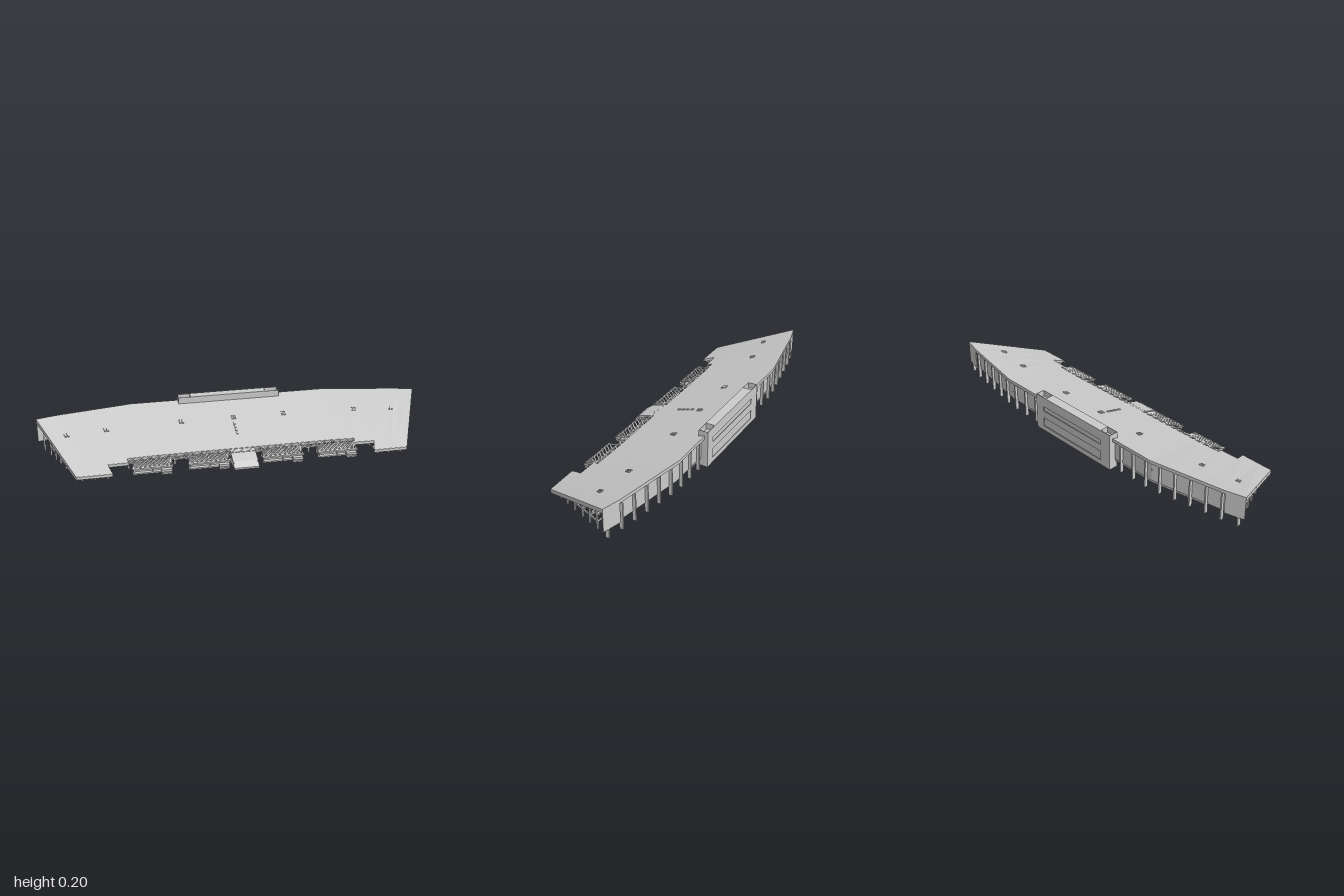
import * as THREE from 'three';

const grey = new THREE.MeshStandardMaterial({ color: 0xcccccc, flatShading: true, side: THREE.DoubleSide });
const V = (x, y, z) => new THREE.Vector3(x, y, z);
const UP = V(0, 1, 0);

// Back edge line of the faceted plan, s runs -1..1 along the building
function backZ(s) {
  const u = Math.abs(s);
  if (u <= 0.5126) return -0.26;
  if (u <= 0.9045) return -0.26 + (u - 0.5126) / 0.3919 * 0.073;
  return -0.187 + (u - 0.9045) / 0.0955 * 0.027;
}
// Point on the roof surface: t = 0 at the back eave, 1 at the front eave
function roofPoint(s, t, drop = 0) {
  const zb = backZ(s);
  return V(s * (1 - 0.17 * t), 0.175 - 0.14 * t - drop, zb + (0.245 - zb) * t);
}
const at = (s, t, y) => roofPoint(s, t).setY(y);

export function createModel() {
  const model = new THREE.Group();
  model.name = 'grandstandBuilding';
  const building = new THREE.Group();
  building.name = 'building';
  building.rotation.y = -0.06;
  building.position.x = -0.009;
  model.add(building);

  function add(name, geometry, parent = building) {
    const m = new THREE.Mesh(geometry, grey);
    m.name = name;
    parent.add(m);
    return m;
  }
  function group(name) {
    const g = new THREE.Group();
    g.name = name;
    building.add(g);
    return g;
  }
  function box(name, x0, x1, y0, y1, z0, z1, parent) {
    const m = add(name, new THREE.BoxGeometry(x1 - x0, y1 - y0, z1 - z0), parent);
    m.position.set((x0 + x1) / 2, (y0 + y1) / 2, (z0 + z1) / 2);
    return m;
  }
  // Straight bar from a to b with width w and height h
  function bar(name, a, b, w, h, parent) {
    const m = add(name, new THREE.BoxGeometry(w, h, a.distanceTo(b)), parent);
    m.position.copy(a).add(b).multiplyScalar(0.5);
    m.quaternion.setFromRotationMatrix(new THREE.Matrix4().lookAt(b, a, UP));
    return m;
  }
  // Slab under four top corners: back left, front left, front right, back right
  function slab(name, corners, thick, parent) {
    const low = corners.map(p => V(p.x, p.y - thick, p.z));
    const pts = [...corners, ...low];
    const quads = [[0, 1, 2, 3], [7, 6, 5, 4], [0, 4, 5, 1], [1, 5, 6, 2], [2, 6, 7, 3], [3, 7, 4, 0]];
    const tris = quads.flatMap(([a, b, c, d]) => [a, b, c, a, c, d]);
    const g = new THREE.BufferGeometry().setFromPoints(tris.map(i => pts[i]));
    g.computeVertexNormals();
    return add(name, g, parent);
  }

  // Thin roof sheets, set back in the middle and stepping out to the ends
  const roof = group('roof');
  const cuts = [-1, -0.9045, -0.79, -0.67, -0.5126, 0, 0.5126, 0.67, 0.79, 0.9045, 1];
  const reach = s => (Math.abs(s) > 0.79 ? 1 : Math.abs(s) > 0.67 ? 0.86 : 0.8);
  for (let i = 0; i < cuts.length - 1; i++) {
    const [p, q] = [cuts[i], cuts[i + 1]];
    const t = reach((p + q) / 2);
    slab('roofPanel', [roofPoint(p, 0), roofPoint(p, t), roofPoint(q, t), roofPoint(q, 0)], 0.002, roof);
    bar('frontFascia', roofPoint(p, t, 0.008), roofPoint(q, t, 0.008), 0.004, 0.014, roof);
  }
  for (const s of [-1, 1]) {
    const c = [roofPoint(s * 0.997, 0), roofPoint(s * 0.997, 1), roofPoint(s, 1), roofPoint(s, 0)];
    slab('sideFascia', s > 0 ? c : c.reverse(), 0.022, roof);
  }

  // Rafters and purlins directly below the sheets
  const framing = group('roofFraming');
  for (let i = -12; i <= 12; i++) {
    const s = i * 0.08;
    bar('rafter', roofPoint(s, 0.02, 0.009), roofPoint(s, reach(s) - 0.01, 0.009), 0.008, 0.012, framing);
  }
  for (const t of [0.2, 0.4, 0.6, 0.78]) {
    for (let i = 0; i < cuts.length - 1; i++) {
      bar('purlin', roofPoint(cuts[i], t, 0.008), roofPoint(cuts[i + 1], t, 0.008), 0.006, 0.009, framing);
    }
  }

  // Small roof hatches and the central run of rooflights
  for (const s of [-0.91, -0.7, -0.29, 0, 0.28, 0.68, 0.89]) {
    for (const d of [-0.007, 0.007]) {
      bar('roofHatch', roofPoint(s + d, 0.32), roofPoint(s + d, 0.37), 0.008, 0.01);
    }
  }
  for (let i = 0; i < 4; i++) {
    bar('rooflight', roofPoint(-0.005, 0.42 + i * 0.05), roofPoint(-0.005, 0.45 + i * 0.05), 0.01, 0.008);
  }

  // Back eave, recessed wall and upright fins
  const back = group('backWall');
  const backCuts = [-1, -0.9045, -0.5126, -0.27, 0.27, 0.5126, 0.9045, 1];
  for (let i = 0; i < backCuts.length - 1; i++) {
    const [p, q] = [backCuts[i], backCuts[i + 1]];
    bar('eaveBand', at(p, 0.006, 0.165), at(q, 0.006, 0.165), 0.005, 0.016, back);
    const end = Math.abs(p + q) > 1.8;
    const t = end ? 0.008 : 0.04;
    bar(end ? 'endPanel' : 'recessedWall', at(p, t, 0.11), at(q, t, 0.11), 0.005, 0.116, back);
  }
  for (const side of [-1, 1]) {
    for (let i = 0; i < 9; i++) {
      const s = side * (0.315 + i * 0.082);
      bar('backFin', at(s, 0.025, 0.003), at(s, 0.025, 0.166), 0.008, 0.018, back);
    }
  }

  // Rear service block: facade with two long slots, end walls and a cap
  const block = group('rearBlock');
  const rect = (x0, x1, y0, y1) => [[x0, y0], [x1, y0], [x1, y1], [x0, y1]].map(p => new THREE.Vector2(...p));
  const face = new THREE.Shape(rect(-0.265, 0.272, 0.003, 0.2));
  face.holes.push(new THREE.Path(rect(-0.2, 0.22, 0.03, 0.08)), new THREE.Path(rect(-0.2, 0.22, 0.12, 0.146)));
  add('facade', new THREE.ExtrudeGeometry(face, { depth: 0.004, bevelEnabled: false }), block).position.z = -0.278;
  box('slotBacking', -0.262, 0.27, 0.003, 0.17, -0.258, -0.256, block);
  box('cap', -0.2, 0.2, 0.165, 0.2, -0.277, -0.228, block);
  box('parapet', -0.265, 0.272, 0.165, 0.2, -0.23, -0.228, block);
  for (const x of [-0.264, 0.271]) box('endWall', x - 0.001, x + 0.001, 0.003, 0.2, -0.278, -0.228, block);

  // Raised floor on a line of short posts
  const floor = group('raisedFloor');
  for (const [p, q] of [[-0.8, -0.5126], [-0.5126, 0.4]]) {
    slab('floorSlab', [at(p, 0.04, 0.044), at(p, 0.8, 0.044), at(q, 0.8, 0.044), at(q, 0.04, 0.044)], 0.006, floor);
  }
  for (let i = 0; i < 13; i++) {
    const s = -0.72 + i * 0.09;
    bar('floorPost', at(s, 0.45, 0.003), at(s, 0.45, 0.04), 0.007, 0.007, floor);
  }
  bar('floorBeam', at(-0.5126, 0.45, 0.036), at(0.4, 0.45, 0.036), 0.005, 0.006, floor);

  // Open end frames: posts, floor beams and side rails
  const frames = group('endFrames');
  const rows = [0.2, 0.33, 0.46, 0.6, 0.74, 0.87];
  for (const s of [-0.97, -0.87, 0.45, 0.56, 0.67, 0.77, 0.87, 0.97]) {
    for (const t of rows) {
      if (t < reach(s)) bar('framePost', at(s, t, 0.003), roofPoint(s, t, 0.012), 0.008, 0.008, frames);
    }
    bar('frameBeam', at(s, 0.2, 0.045), at(s, 0.8, 0.045), 0.006, 0.009, frames);
    if (Math.abs(s) > 0.8) bar('sideRail', at(s, 0.2, 0.1), at(s, 0.46, 0.1), 0.006, 0.009, frames);
  }
  for (const [p, q] of [[-0.97, -0.9045], [-0.9045, -0.8], [0.4, 0.5126], [0.5126, 0.9045], [0.9045, 0.97]]) {
    for (const t of rows.slice(0, 5)) bar('crossBeam', at(p, t, 0.045), at(q, t, 0.045), 0.006, 0.008, frames);
  }
  // Small enclosed rooms and landings within the frames
  for (const [x, z, top] of [[0.82, -0.07, 0.1], [0.56, -0.09, 0.1], [-0.8, 0.03, 0.076]]) {
    box('room', x - 0.035, x + 0.035, 0.03, top, z - 0.03, z + 0.03, frames);
    box('landing', x - 0.055, x + 0.055, 0.022, 0.028, z + 0.02, z + 0.06, frames);
  }

  // Front terraces with slatted canopies, steps and posts
  const slope = (x, z, drop = 0) => V(x, 0.175 - 0.277 * (z + 0.26) - drop, z);
  for (const [x0, x1] of [[-0.56, -0.36], [-0.285, -0.075], [0.085, 0.297], [0.37, 0.575]]) {
    const bay = group('frontTerrace');
    slab('canopyEdge', [slope(x0, 0.217), slope(x0, 0.226), slope(x1, 0.226), slope(x1, 0.217)], 0.008, bay);
    for (let i = 0; i < 9; i++) {
      const x = x0 + (x1 - x0) * i / 9;
      bar('slat', slope(x, 0.22, 0.004), slope(Math.min(x + 0.06, x1), 0.165, 0.004), 0.008, 0.005, bay);
    }
    for (const x of [x0 + 0.006, (x0 + x1) / 2, x1 - 0.006]) {
      bar('canopyRafter', slope(x, 0.13, 0.006), slope(x, 0.22, 0.006), 0.005, 0.008, bay);
      bar('canopyPost', V(x, 0.003, 0.21), slope(x, 0.21, 0.006), 0.006, 0.006, bay);
    }
    for (let i = 0; i < 4; i++) {
      box('step', x0 + 0.01, x1 - 0.01, 0.003, 0.01 + 0.007 * i, 0.195 - 0.02 * i, 0.215 - 0.02 * i, bay);
    }
    box('entryPorch', x1 - 0.06, x1 - 0.008, 0.016, 0.028, 0.215, 0.24, bay);
    box('entryStep', x1 - 0.06, x1 - 0.008, 0.003, 0.01, 0.215, 0.24, bay);
  }
  // Continuous slatted strip along the set-back eave, with its beam and posts
  const strip = group('eaveStrip');
  for (let i = 0; i < 27; i++) {
    const x = -0.57 + i * 0.042;
    bar('slat', slope(x, 0.168, 0.004), slope(x + 0.035, 0.138, 0.004), 0.008, 0.005, strip);
  }
  bar('stripEdge', slope(-0.57, 0.168, 0.006), slope(0.58, 0.168, 0.006), 0.006, 0.008, strip);
  box('frontBeam', -0.58, 0.58, 0.03, 0.038, 0.14, 0.147, strip);
  for (let i = 0; i < 16; i++) {
    const x = -0.57 + i * 0.076;
    box('frontPost', x - 0.004, x + 0.004, 0.003, 0.055, 0.135, 0.143, strip);
  }

  // Central entrance canopy
  const entry = group('centralEntrance');
  const ramp = [[0.062, 0.14], [0.034, 0.23], [0.012, 0.262]];
  for (let i = 0; i < 2; i++) {
    const [[y0, z0], [y1, z1]] = [ramp[i], ramp[i + 1]];
    slab('entranceCanopy', [V(-0.066, y0, z0), V(-0.066, y1, z1), V(0.06, y1, z1), V(0.06, y0, z0)], 0.009, entry);
  }
  for (const x of [-0.063, 0.057]) box('entranceCheek', x - 0.003, x + 0.003, 0, 0.03, 0.15, 0.24, entry);

  // Low decks under the outer front corners
  for (const s of [-1, 1]) {
    const x = s * 0.74;
    box('cornerDeck', x - 0.07, x + 0.07, 0.014, 0.022, 0.17, 0.235);
    for (const d of [-0.06, 0, 0.06]) box('cornerPost', x + d - 0.004, x + d + 0.004, 0.003, 0.035, 0.222, 0.23);
  }
  return model;
}
